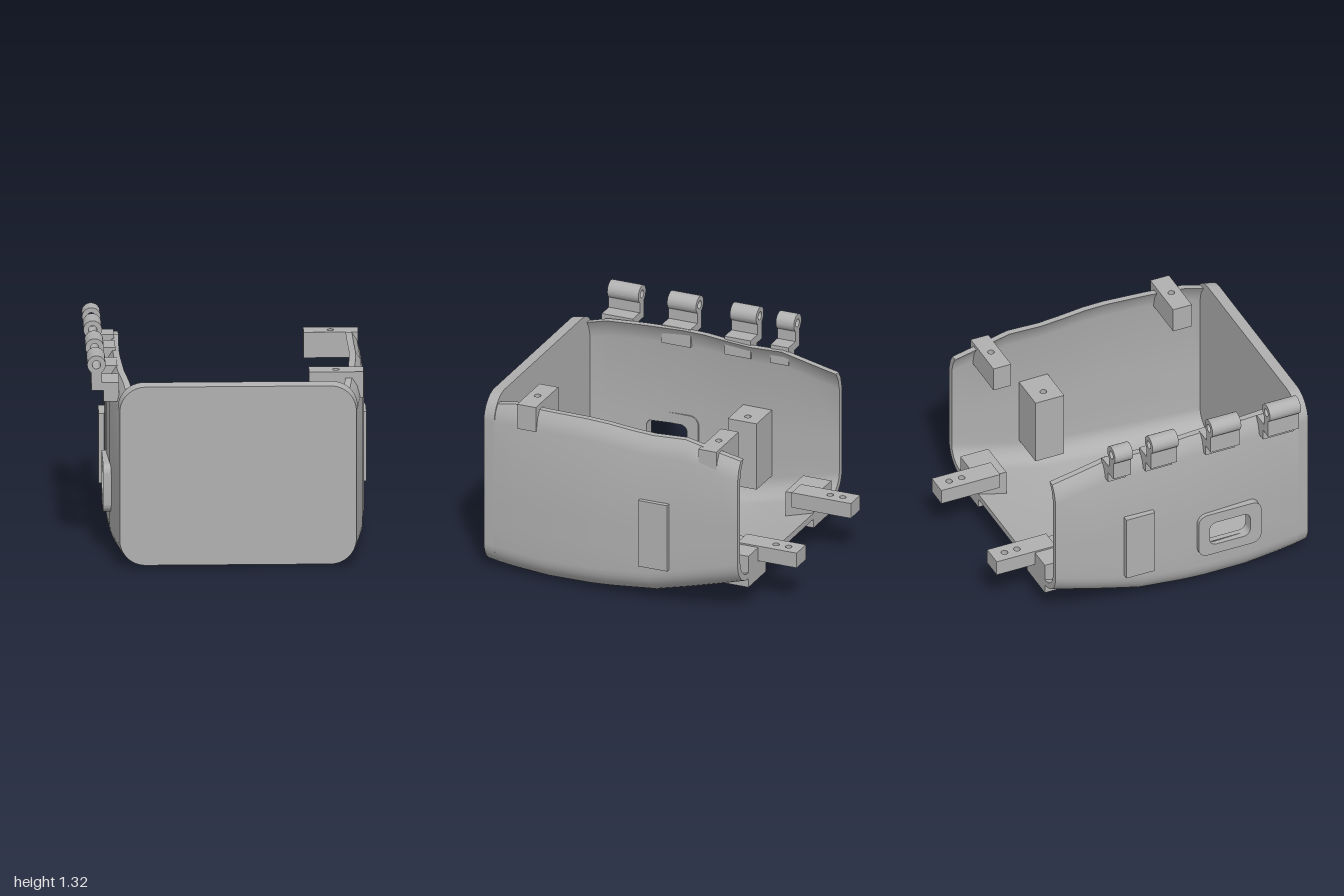
import * as THREE from 'three';
import { toCreasedNormals } from 'three/addons/utils/BufferGeometryUtils.js';

const CX = 0.05; // centre line of the housing
const bodyGrey = new THREE.MeshStandardMaterial({ color: 0xb0b0b0 });
bodyGrey.name = 'body grey';

function part(name, geometry) {
  const mesh = new THREE.Mesh(toCreasedNormals(geometry, 0.6), bodyGrey);
  mesh.name = name;
  return mesh;
}

// Solid through closed rings (counter-clockwise seen from +z, z increasing)
function loft(rings, skip = () => false) {
  const pos = [];
  const tri = (...pts) => pts.forEach((p) => pos.push(p.x, p.y, p.z));
  for (let i = 0; i < rings.length - 1; i++) {
    const n = rings[i].length;
    for (let j = 0; j < n; j++) {
      const k = (j + 1) % n;
      const a = rings[i][j], b = rings[i][k], c = rings[i + 1][k], d = rings[i + 1][j];
      const mid = a.clone().add(b).add(c).add(d).multiplyScalar(0.25);
      if (skip(mid)) continue;
      tri(a, b, c);
      tri(a, c, d);
    }
  }
  const first = rings[0], last = rings[rings.length - 1];
  const flat = (r) => r.map((p) => new THREE.Vector2(p.x, p.y));
  for (const [a, b, c] of THREE.ShapeUtils.triangulateShape(flat(first), [])) tri(first[c], first[b], first[a]);
  for (const [a, b, c] of THREE.ShapeUtils.triangulateShape(flat(last), [])) tri(last[a], last[b], last[c]);
  const g = new THREE.BufferGeometry();
  g.setAttribute('position', new THREE.Float32BufferAttribute(pos, 3));
  return g;
}

// One wall line, from the right-hand rim down and round to the left-hand rim
function wallLine(z, w, b, t, r) {
  const low = b + r, high = t - 0.12;
  const half = [[w - 0.05, t], [w - 0.018, t - 0.05]];
  for (const f of [1, 0.375, 0.19]) half.push([w, low + (high - low) * f]);
  for (let i = 0; i <= 8; i++) {
    const a = (i / 8) * Math.PI / 2;
    half.push([w - r + r * Math.cos(a), low - r * Math.sin(a)]);
  }
  const left = half.map(([x, y]) => [-x, y]).reverse();
  return [...half, ...left].map(([x, y]) => new THREE.Vector3(CX + x, y, z));
}

// Rounded rectangle outline
function roundedRect(path, x0, y0, x1, y1, r) {
  path.moveTo(x0 + r, y0);
  path.lineTo(x1 - r, y0);
  path.absarc(x1 - r, y0 + r, r, -Math.PI / 2, 0, false);
  path.lineTo(x1, y1 - r);
  path.absarc(x1 - r, y1 - r, r, 0, Math.PI / 2, false);
  path.lineTo(x0 + r, y1);
  path.absarc(x0 + r, y1 - r, r, Math.PI / 2, Math.PI, false);
  path.lineTo(x0, y0 + r);
  path.absarc(x0 + r, y0 + r, r, Math.PI, Math.PI * 1.5, false);
  return path;
}

// Box with vertical screw holes given as [x, z]
function drilledBlock(name, [x0, x1], [y0, y1], [z0, z1], holes = []) {
  const s = new THREE.Shape();
  s.moveTo(x0, -z1);
  s.lineTo(x1, -z1);
  s.lineTo(x1, -z0);
  s.lineTo(x0, -z0);
  s.closePath();
  for (const [x, z] of holes) s.holes.push(new THREE.Path().absarc(x, -z, 0.021, 0, Math.PI * 2, true));
  const g = new THREE.ExtrudeGeometry(s, { depth: y1 - y0, bevelEnabled: false, curveSegments: 10 });
  g.rotateX(-Math.PI / 2).translate(0, y0, 0);
  return part(name, g);
}

export function createModel() {
  const model = new THREE.Group();
  model.name = 'housing';

  // Open tub: z, half width, underside, rim height
  const stations = [
    [-0.74, 0.785, 0.21, 1.05], [-0.55, 0.788, 0.155, 1.09], [-0.37, 0.79, 0.105, 1.13],
    [-0.15, 0.795, 0.05, 1.12], [0, 0.797, 0.035, 1.13], [0.15, 0.798, 0.02, 1.145],
    [0.29, 0.795, 0.01, 1.15], [0.57, 0.78, 0, 1.145], [0.8, 0.755, 0.005, 1.14], [0.93, 0.74, 0.012, 1.11],
  ];
  const tubRings = stations.map(([z, w, b, t]) => [
    ...wallLine(z, w, b, t, 0.16),
    ...wallLine(z, w - 0.04, b + 0.04, t, 0.12).reverse(),
  ].reverse());
  const inPort = (p) => p.x < -0.6 && p.z > 0.29 && p.z < 0.57 && p.y > 0.33 && p.y < 0.49;
  model.add(part('tub', loft(tubRings, inPort)));

  // Closed front panel
  const panelRing = (z, w, b, t) =>
    roundedRect(new THREE.Shape(), CX - w, b, CX + w, t, 0.16).extractPoints(8).shape
      .filter((p, i, all) => i === 0 || (p.distanceTo(all[i - 1]) > 1e-5 && p.distanceTo(all[0]) > 1e-5))
      .map((p) => new THREE.Vector3(p.x, p.y, z));
  model.add(part('frontPanel', loft([panelRing(0.925, 0.74, 0.012, 1.168), panelRing(1, 0.73, 0.02, 1.158)])));

  // Port surround through the right wall
  const frame = roundedRect(new THREE.Shape(), -0.64, 0.255, -0.215, 0.56, 0.06);
  frame.holes.push(roundedRect(new THREE.Path(), -0.565, 0.325, -0.29, 0.49, 0.045));
  const frameGeo = new THREE.ExtrudeGeometry(frame, { depth: 0.075, bevelEnabled: false, curveSegments: 6 });
  frameGeo.rotateY(Math.PI / 2).translate(-0.772, 0, 0);
  model.add(part('portSurround', frameGeo));

  // Hinge knuckles along the right rim
  const hinge = new THREE.Shape();
  hinge.moveTo(-0.85, 1.1);
  hinge.lineTo(-0.775, 1.1);
  hinge.lineTo(-0.775, 1.03);
  hinge.lineTo(-0.68, 1.03);
  hinge.lineTo(-0.68, 1.152);
  hinge.lineTo(-0.785, 1.152);
  hinge.lineTo(-0.785, 1.22);
  hinge.absarc(-0.82, 1.265, 0.057, -0.908, Math.PI + 0.908 + 0.115, false);
  hinge.lineTo(-0.85, 1.217);
  hinge.closePath();
  hinge.holes.push(new THREE.Path().absarc(-0.82, 1.265, 0.026, 0, Math.PI * 2, true));
  for (const [z0, z1] of [[0.65, 0.86], [0.26, 0.455], [-0.147, 0.03], [-0.402, -0.28]]) {
    const g = new THREE.ExtrudeGeometry(hinge, { depth: z1 - z0, bevelEnabled: false, curveSegments: 24 });
    model.add(part('hingeKnuckle', g.translate(0, 0, z0)));
  }

  // Screw bosses passing through the side walls
  model.add(drilledBlock('rightBoss', [-0.78, -0.475], [0.255, 0.7], [-0.28, -0.085], [[-0.555, -0.185]]));
  model.add(drilledBlock('leftBoss', [0.56, 0.872], [0.255, 0.7], [-0.28, -0.085], [[0.65, -0.185]]));

  // Latch blocks on the left rim
  model.add(drilledBlock('frontLatchBlock', [0.495, 0.832], [1.015, 1.18], [0.625, 0.752], [[0.662, 0.69]]));
  model.add(drilledBlock('backLatchBlock', [0.495, 0.832], [0.94, 1.103], [-0.595, -0.475], [[0.662, -0.535]]));

  // Rear tabs with their support blocks
  for (const [tab, block] of [[[-0.43, -0.29], [-0.575, -0.31]], [[0.385, 0.525], [0.405, 0.67]]]) {
    const x = (tab[0] + tab[1]) / 2;
    model.add(drilledBlock('rearTab', tab, [0.27, 0.37], [-1, -0.6], [[x, -0.915], [x, -0.83]]));
    model.add(drilledBlock('tabSupport', block, [0.15, 0.36], [-0.74, -0.55]));
  }
  return model;
}
